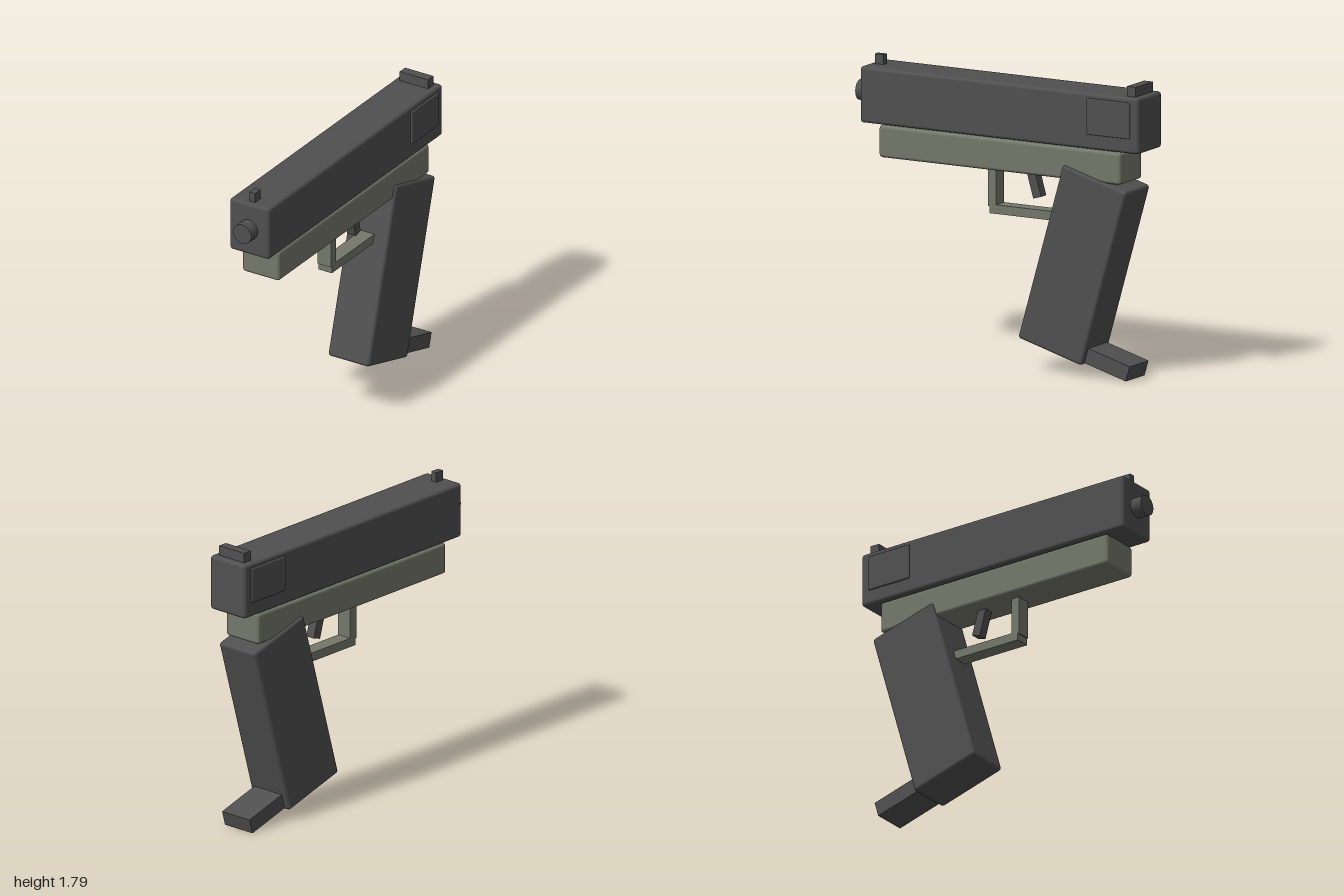
import * as THREE from 'three';
import { RoundedBoxGeometry } from 'three/addons/geometries/RoundedBoxGeometry.js';

export function createModel() {
  const model = new THREE.Group();
  model.name = 'model';

  const darkGrey = new THREE.MeshStandardMaterial({ color: 0x505050 });
  darkGrey.name = 'darkGrey';
  const oliveGrey = new THREE.MeshStandardMaterial({ color: 0x74786a });
  oliveGrey.name = 'oliveGrey';

  const TILT = 0.28; // rake of the grip, foot and trigger

  function add(name, geometry, material, x, y, z, tilt = 0) {
    const mesh = new THREE.Mesh(geometry, material);
    mesh.name = name;
    mesh.position.set(x, y, z);
    mesh.rotation.x = tilt;
    model.add(mesh);
    return mesh;
  }
  const box = (w, h, d) => new THREE.BoxGeometry(w, h, d);
  const rounded = (w, h, d, r = 0.02) => new RoundedBoxGeometry(w, h, d, 3, r);

  // Upper body
  add('slide', rounded(0.28, 0.34, 1.925), darkGrey, 0, 1.56, -0.0375);
  add('frame', rounded(0.26, 0.195, 1.67), oliveGrey, 0, 1.287, -0.035);

  // Short barrel stub at the front
  add('barrel', new THREE.CylinderGeometry(0.064, 0.064, 0.2, 16), darkGrey, 0, 1.56, 0.9, Math.PI / 2);

  // Sights on top
  add('frontSight', box(0.04, 0.08, 0.06), darkGrey, 0, 1.75, 0.86);
  add('rearSight', box(0.2, 0.08, 0.06), darkGrey, 0, 1.75, -0.93);

  // Raised panels on both sides near the back
  for (const side of [1, -1]) {
    add(side > 0 ? 'leftPanel' : 'rightPanel', rounded(0.03, 0.22, 0.3, 0.008), darkGrey, side * 0.135, 1.59, -0.795);
  }

  // Raked grip with the foot plate behind its base
  add('grip', rounded(0.29, 1.125, 0.458), darkGrey, 0, 0.674, -0.543, -TILT);
  add('footPlate', box(0.22, 0.095, 0.4), darkGrey, 0, 0.102, -0.718, -TILT);

  // Trigger and its guard
  add('trigger', box(0.06, 0.2, 0.057), darkGrey, 0, 1.13, -0.21, TILT);
  add('guardPost', box(0.095, 0.26, 0.055), oliveGrey, 0, 1.083, 0.064);
  add('guardBar', box(0.095, 0.055, 0.52), oliveGrey, 0, 0.938, -0.177);

  return model;
}
